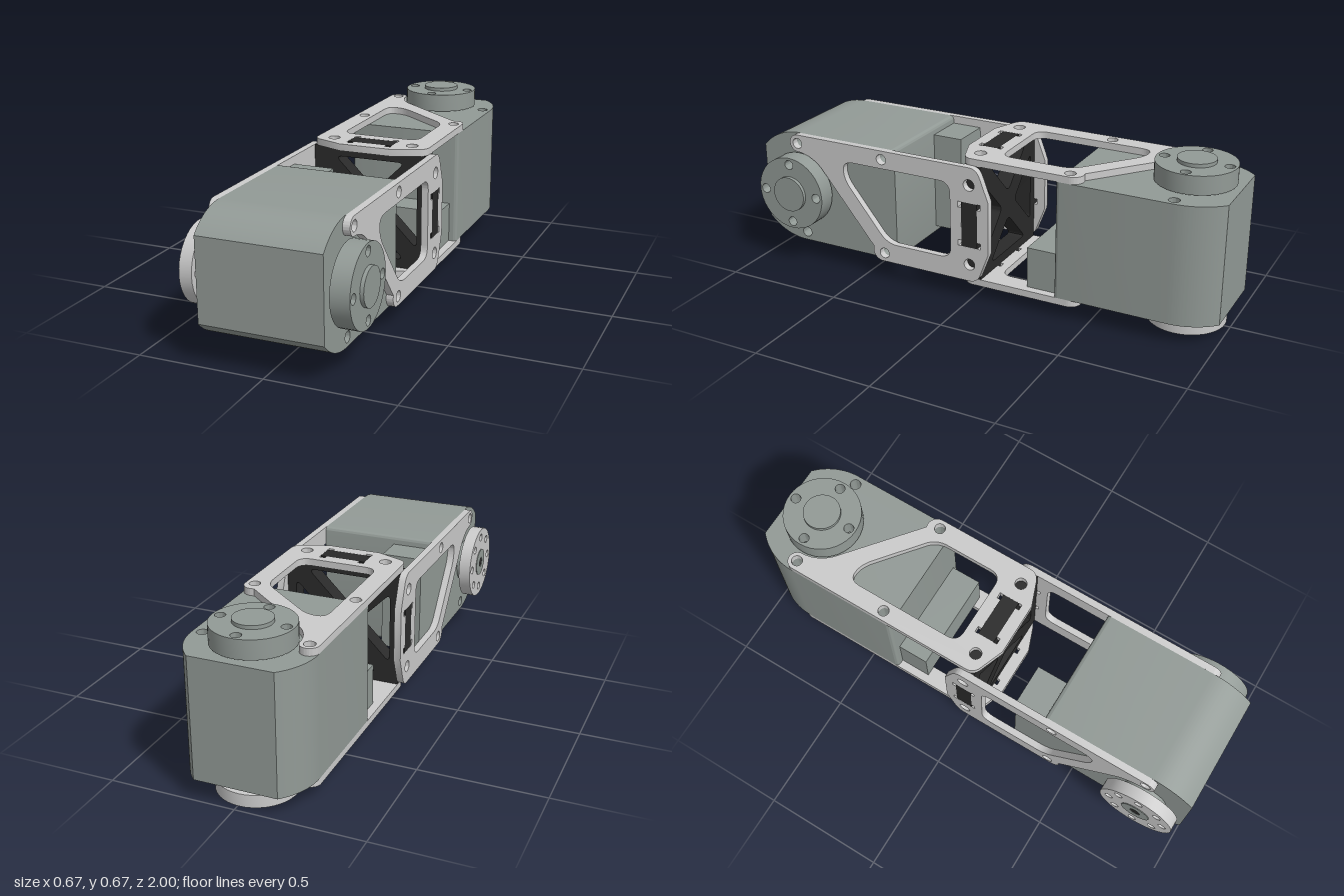
import * as THREE from 'three';
import { toCreasedNormals } from 'three/addons/utils/BufferGeometryUtils.js';

const material = (color) => new THREE.MeshStandardMaterial({ color });
const servoMat = material(0x929a96);
const plateMat = material(0xcccccc);
const darkMat = material(0x2a2a2a);

// Servo dimensions: half width along the axle, half height, axle distance
const W = 0.2425, V = 0.2435, AXLE = 0.82;
const BOLTS = [[0.81, 0.2065], [0.4, 0.2065], [0.4, -0.2065], [0.81, -0.2065]];

function add(parent, name, geometry, mat) {
  const mesh = new THREE.Mesh(geometry, mat);
  mesh.name = name;
  parent.add(mesh);
  return mesh;
}

const circle = (u, v, r) => new THREE.Path().absarc(u, v, r, 0, Math.PI * 2, true);

// Closed polygon with rounded corners
function rounded(path, pts, r) {
  const n = pts.length;
  const P = pts.map((p) => new THREE.Vector2(...p));
  P.forEach((p, i) => {
    const toward = (q) => p.clone().add(q.clone().sub(p).setLength(Math.min(r, q.distanceTo(p) * 0.48)));
    const a = toward(P[(i + n - 1) % n]), b = toward(P[(i + 1) % n]);
    if (i === 0) path.moveTo(a.x, a.y);
    else path.lineTo(a.x, a.y);
    path.quadraticCurveTo(p.x, p.y, b.x, b.y);
  });
  path.closePath();
  return path;
}

// Side profile (shape x -> z, shape y -> y) extruded between two x positions
function slab(shape, x0, x1) {
  const geo = new THREE.ExtrudeGeometry(shape, { depth: x1 - x0, bevelEnabled: false, curveSegments: 20 });
  geo.rotateY(-Math.PI / 2).translate(x1, 0, 0);
  return toCreasedNormals(geo, 0.5);
}

function disc(r, x0, x1, holes = []) {
  const shape = new THREE.Shape().absarc(0, 0, r, 0, Math.PI * 2, false);
  shape.holes.push(...holes);
  return slab(shape, x0, x1).translate(0, 0, AXLE);
}

const ring = (n, radius, r) => Array.from({ length: n }, (_, i) => {
  const a = (i / n) * Math.PI * 2;
  return circle(radius * Math.cos(a), radius * Math.sin(a), r);
});

// Servo case with a nose that follows the axle circle and is cut flat
function bodyShape() {
  const s = new THREE.Shape();
  const a = Math.acos((1 - AXLE) / V), c = 0.02, back = 0.355;
  s.moveTo(back + c, -V);
  s.lineTo(AXLE, -V);
  s.absarc(AXLE, 0, V, -Math.PI / 2, -a, false);
  s.absarc(AXLE, 0, V, a, Math.PI / 2, false);
  s.lineTo(back + c, V);
  s.quadraticCurveTo(back, V, back, V - c);
  s.lineTo(back, -V + c);
  s.quadraticCurveTo(back, -V, back + c, -V);
  s.holes.push(...BOLTS.map(([u, v]) => circle(u, v, 0.022)));
  return s;
}

// Side plate: hooked bracket curving around the horn, with window and slot
function plateShape() {
  const s = new THREE.Shape();
  s.moveTo(-0.085, 0.11);
  s.lineTo(-0.085, -0.11);
  s.lineTo(-0.045, -0.215);
  s.quadraticCurveTo(-0.03, -V, 0, -V);
  s.lineTo(0.4, -V);
  s.absarc(0.41, -0.2, 0.0435, -Math.PI / 2, 0.35, false);
  s.lineTo(0.684, 0.102);
  s.absarc(AXLE, 0, 0.17, 2.5, 1.68, true);
  s.absarc(0.81, 0.2065, 0.037, -1.4, Math.PI / 2, false);
  s.lineTo(0, V);
  s.quadraticCurveTo(-0.03, V, -0.045, 0.215);
  s.closePath();

  const window_ = rounded(new THREE.Path(),
    [[0.085, 0.167], [0.585, 0.167], [0.585, 0.09], [0.385, -0.16], [0.085, -0.16]], 0.05);
  const quarter = [[0.035, 0], [0.035, 0.07], [0.05, 0.07], [0.05, 0.095]];
  const half = [...quarter, ...quarter.map(([u, v]) => [-u, v]).reverse()];
  const slot = new THREE.Path([...half, ...half.slice(1, -1).map(([u, v]) => [-u, -v])]
    .map((p) => new THREE.Vector2(...p)));
  s.holes.push(window_, slot, circle(0, 0.17, 0.024), circle(0, -0.17, 0.024),
    ...BOLTS.slice(0, 3).map(([u, v]) => circle(u, v, 0.022)));
  return s;
}

// One servo with horn, idler and its pair of plates; axle along x, reaching to +z
function servoUnit(name, flipPlates) {
  const unit = new THREE.Group();
  unit.name = name;
  add(unit, 'servoBody', slab(bodyShape(), -W, W), servoMat);
  add(unit, 'connectorBlock', new THREE.BoxGeometry(0.17, 0.42, 0.15).translate(-W + 0.085, 0, 0.3), servoMat);
  add(unit, 'hornSpacer', disc(0.1, W, 0.2505), darkMat);
  add(unit, 'horn', disc(0.157, 0.2505, 0.3255, ring(4, 0.127, 0.02)), servoMat);
  add(unit, 'hornHub', disc(0.075, 0.3255, 0.34), servoMat);
  add(unit, 'idlerNeck', disc(0.09, -0.2735, -W), servoMat);
  add(unit, 'idler', disc(0.157, -0.3245, -0.2735, ring(8, 0.118, 0.017)), plateMat);
  add(unit, 'idlerCap', disc(0.06, -0.3275, -0.3245, [circle(0, 0, 0.022)]), servoMat);
  add(unit, 'idlerScrew', disc(0.022, -0.326, -0.3245), darkMat);

  const plates = new THREE.Group();
  plates.name = 'sidePlates';
  if (flipPlates) plates.rotation.z = Math.PI;
  add(plates, 'sidePlate', slab(plateShape(), W, 0.271), plateMat);
  add(plates, 'sidePlate', slab(plateShape(), -0.271, -W), plateMat);
  unit.add(plates);
  return unit;
}

// Dark square frame with crossed braces, and tabs that lock into the plate slots
function centreFrame() {
  const frame = new THREE.Group();
  frame.name = 'centreFrame';
  const s = new THREE.Shape();
  s.moveTo(-W, -W).lineTo(W, -W).lineTo(W, W).lineTo(-W, W).closePath();
  const a = 0.205, d = 0.055;
  for (let i = 0; i < 4; i++) {
    const turn = new THREE.Vector2();
    const tri = [[a, d - a], [a, a - d], [d, 0]].map(([x, y]) =>
      turn.set(x, y).rotateAround(new THREE.Vector2(), (i * Math.PI) / 2).toArray());
    s.holes.push(rounded(new THREE.Path(), tri, 0.03));
  }
  const geo = new THREE.ExtrudeGeometry(s, { depth: 0.07, bevelEnabled: false, curveSegments: 8 });
  add(frame, 'crossBrace', toCreasedNormals(geo.translate(0, 0, -0.035), 0.5), darkMat);
  for (let i = 0; i < 4; i++) {
    const tab = add(frame, 'slotTab', new THREE.BoxGeometry(0.03, 0.19, 0.07).translate(0.2555, 0, 0), darkMat);
    tab.rotation.z = (i * Math.PI) / 2;
  }
  return frame;
}

export function createModel() {
  const model = new THREE.Group();
  model.name = 'dualServoJoint';
  const front = servoUnit('frontServo', false);
  // Rear unit: axle vertical, reaching to -z
  const rear = servoUnit('rearServo', true);
  rear.quaternion.setFromRotationMatrix(new THREE.Matrix4().makeBasis(
    new THREE.Vector3(0, 1, 0), new THREE.Vector3(1, 0, 0), new THREE.Vector3(0, 0, -1)));
  model.add(front, rear, centreFrame());
  model.children.forEach((part) => part.position.set(-0.0065, 0.33, 0));
  return model;
}
